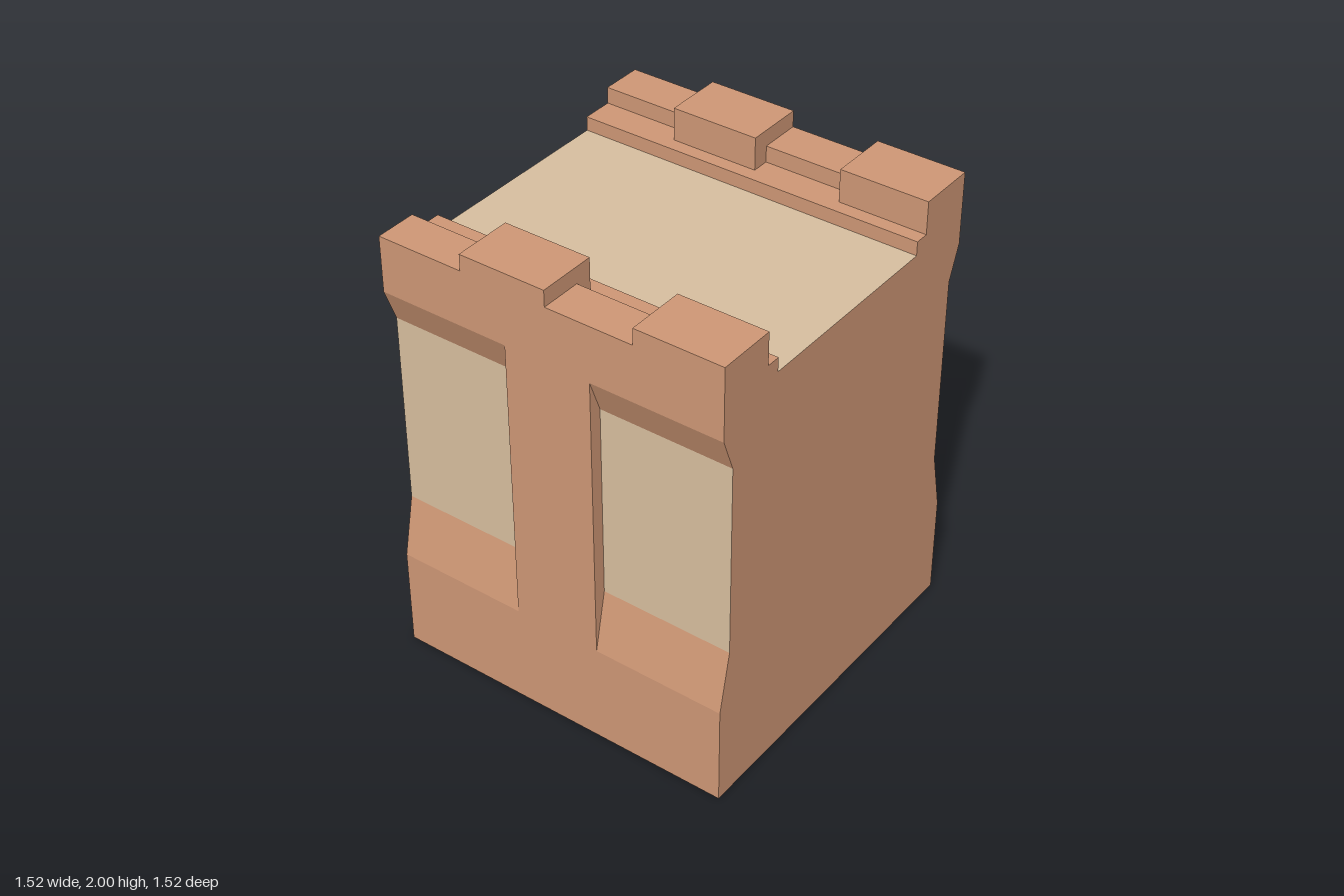
import * as THREE from 'three';

export function createModel() {
  const group = new THREE.Group();
  group.name = 'castleWall';
  const brick = new THREE.MeshStandardMaterial({ color: 0xd09876 });
  brick.name = 'brick';
  const sand = new THREE.MeshStandardMaterial({ color: 0xd9c0a0 });
  sand.name = 'sand';

  const half = 0.76;      // half width and half depth
  const ledgeY = 1.86;
  const add = (name, geometry, material) => {
    const mesh = new THREE.Mesh(geometry, material);
    mesh.name = name;
    group.add(mesh);
    return mesh;
  };
  const extrude = (points, depth) => {
    const shape = new THREE.Shape(points.map(([x, y]) => new THREE.Vector2(x, y)));
    return new THREE.ExtrudeGeometry(shape, { depth, bevelEnabled: false }).translate(0, 0, -depth / 2);
  };

  // Wall body: right half of the section, bottom to walkway, mirrored to the left
  const right = [
    [half, 0], [half, 0.44], [0.705, 0.7], [0.705, 1.545], [half, 1.69],
    [half, ledgeY], [0.445, ledgeY], [0.445, 1.8],
  ];
  const section = [...right, ...right.map(([x, y]) => [-x, y]).reverse()];
  const body = extrude(section, half * 2);

  // Sand colour on the recessed panels and walkway, brick on every other face
  const sandEdges = [3, 8, 12];   // index of the point that ends each sand edge
  const sideStart = body.groups[1].start;
  body.clearGroups();
  body.addGroup(0, sideStart, 0);
  section.forEach((_, i) => {
    const endPoint = section.length - 1 - i;   // side walls run backwards round the section
    body.addGroup(sideStart + i * 6, 6, sandEdges.includes(endPoint) ? 1 : 0);
  });
  add('wallBody', body, [brick, sand]);

  for (const side of [1, -1]) {
    const sideName = side > 0 ? 'left' : 'right';

    // Pillar filling the middle of the recess
    const rib = right.slice(1, 5).map(([x, y]) => [x * side, y]);
    add(sideName + 'Pillar', extrude(rib, 0.38), brick);

    // Battlements: tall merlons alternating with low parapets
    for (let i = 0; i < 4; i++) {
      const tall = i % 2 === 0;
      const width = tall ? 0.255 : 0.18;
      const height = tall ? 0.14 : 0.07;
      const block = add(sideName + (tall ? 'Merlon' : 'Parapet'), new THREE.BoxGeometry(width, height, 0.38), brick);
      block.position.set(side * (half - width / 2), ledgeY + height / 2, 0.57 - i * 0.38);
    }
  }
  return group;
}
